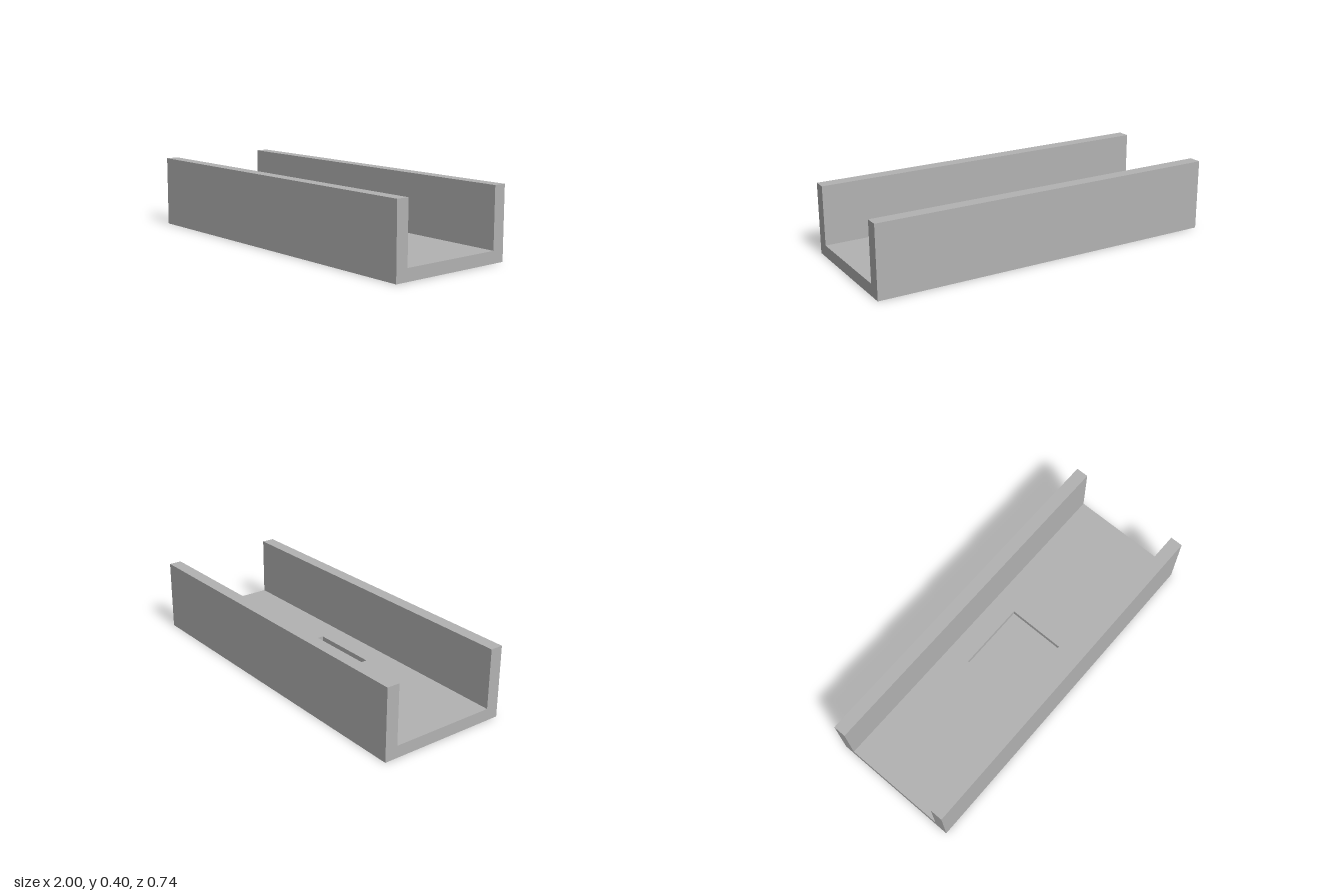
import * as THREE from 'three';

const LENGTH = 2, HEIGHT = 0.4, OUTER = 0.372, INNER = 0.3;
const FLOOR = 0.067, POCKET = 0.033;

// rectangle centred on the origin, in the x-z plane once laid flat
function rectangle(Type, halfX, halfZ) {
  const path = new Type();
  path.moveTo(-halfX, -halfZ);
  path.lineTo(halfX, -halfZ);
  path.lineTo(halfX, halfZ);
  path.lineTo(-halfX, halfZ);
  path.closePath();
  return path;
}

// horizontal slab with cut-outs, from height y0 to y1
function slab(name, holes, y0, y1, material) {
  const shape = rectangle(THREE.Shape, LENGTH / 2, INNER);
  shape.holes.push(...holes);
  const geometry = new THREE.ExtrudeGeometry(shape, { depth: y1 - y0, bevelEnabled: false, curveSegments: 32 });
  geometry.rotateX(-Math.PI / 2).translate(0, y0, 0);
  const mesh = new THREE.Mesh(geometry, material);
  mesh.name = name;
  return mesh;
}

export function createModel() {
  const grey = new THREE.MeshStandardMaterial({ color: 0xb2b2b2 });
  grey.name = 'plain grey';
  const model = new THREE.Group();
  model.name = 'channel';

  // underside with two round blind pockets
  const rounds = [-1, 1].map((side) => {
    const hole = new THREE.Path();
    hole.absarc(side * 0.667, 0, 0.134, 0, Math.PI * 2, true);
    return hole;
  });
  model.add(slab('lowerFloor', rounds, 0, POCKET, grey));

  // upper floor with a rectangular recess in the middle
  model.add(slab('upperFloor', [rectangle(THREE.Path, 0.2, 0.168)], POCKET, FLOOR, grey));

  // front and back walls
  for (const side of [1, -1]) {
    const wall = new THREE.Mesh(new THREE.BoxGeometry(LENGTH, HEIGHT, OUTER - INNER), grey);
    wall.position.set(0, HEIGHT / 2, side * (OUTER + INNER) / 2);
    wall.name = side > 0 ? 'frontWall' : 'backWall';
    model.add(wall);
  }
  return model;
}
